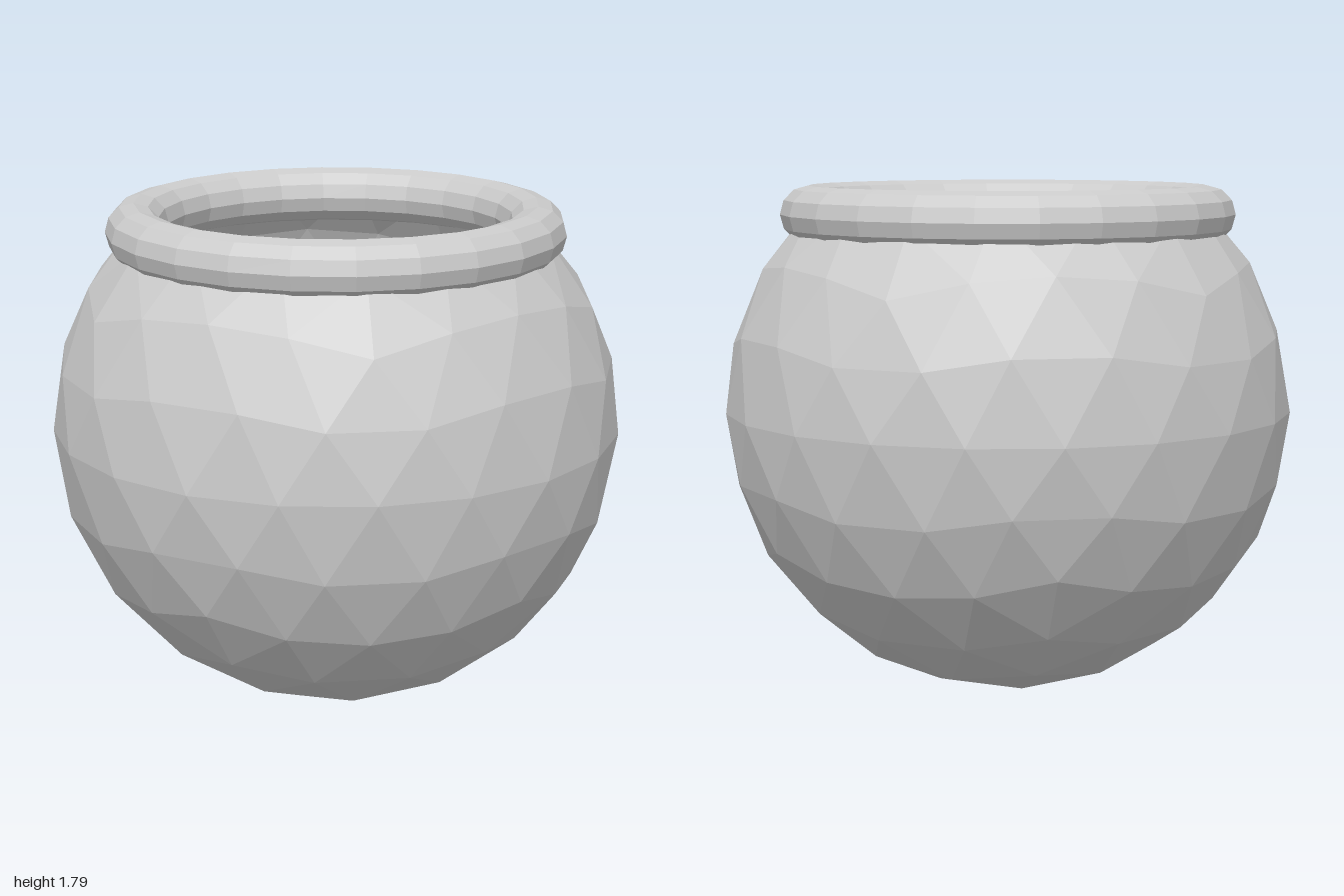
import * as THREE from 'three';

const grey = () => new THREE.MeshStandardMaterial({
  color: 0xcccccc, flatShading: true, side: THREE.DoubleSide,
});

// Faces of a unit icosahedron standing on one corner
function icosahedronFaces() {
  const h = 1 / Math.sqrt(5);
  const ring = (k, y, turn) => {
    const a = Math.PI + (k + turn) * Math.PI * 0.4;
    return new THREE.Vector3(2 * h * Math.cos(a), y, 2 * h * Math.sin(a));
  };
  const top = new THREE.Vector3(0, 1, 0);
  const bottom = new THREE.Vector3(0, -1, 0);
  const faces = [];
  for (let k = 0; k < 5; k++) {
    const l0 = ring(k, -h, 0), l1 = ring(k + 1, -h, 0);
    const u0 = ring(k, h, 0.5), u1 = ring(k + 1, h, 0.5);
    faces.push([top, u1, u0], [bottom, l0, l1], [l0, u0, l1], [u0, u1, l1]);
  }
  return faces;
}

// Split each triangle into four, pushing the midpoints onto the sphere
function subdivide(faces) {
  const mid = (p, q) => p.clone().add(q).normalize();
  return faces.flatMap(([a, b, c]) => {
    const ab = mid(a, b), bc = mid(b, c), ca = mid(c, a);
    return [[a, ab, ca], [ab, b, bc], [ca, bc, c], [ab, bc, ca]];
  });
}

export function createModel() {
  const group = new THREE.Group();
  group.name = 'roundPot';

  const add = (name, geometry, y) => {
    const mesh = new THREE.Mesh(geometry, grey());
    mesh.name = name;
    mesh.position.y = y;
    group.add(mesh);
  };

  // Faceted bowl, open at the top where the rim sits
  const faces = subdivide(subdivide(icosahedronFaces()))
    .filter((face) => face.every((p) => p.y < 0.77));
  const bowl = new THREE.BufferGeometry().setFromPoints(faces.flat());
  bowl.computeVertexNormals();
  add('bowl', bowl, 1);

  // Rounded rim
  add('rim', new THREE.TorusGeometry(0.7, 0.1, 12, 24).rotateX(Math.PI / 2), 1.69);

  // Flat surface of the contents, just below the rim
  add('contents', new THREE.CircleGeometry(0.87, 20).rotateX(-Math.PI / 2), 1.43);

  return group;
}
